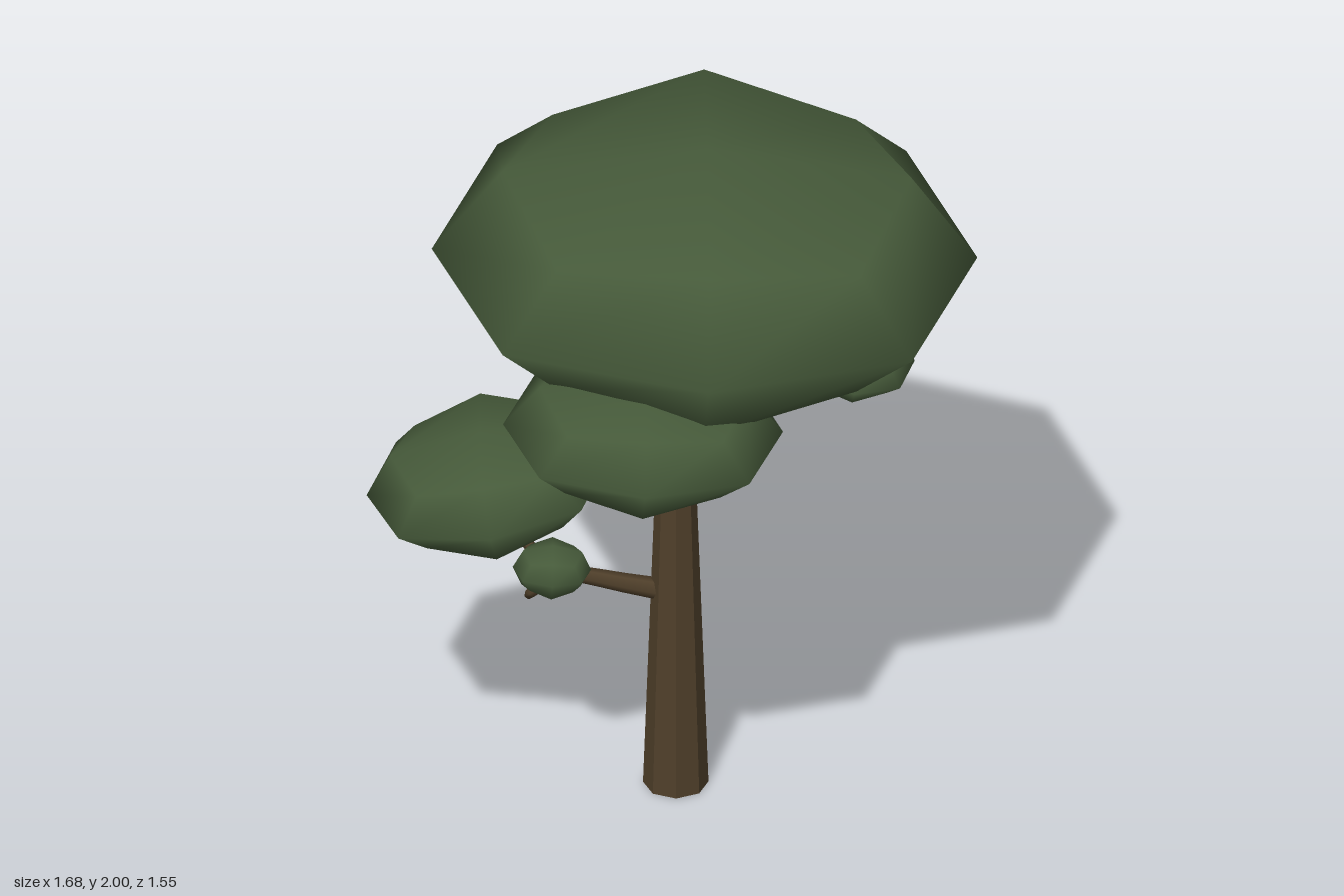
import * as THREE from 'three';
import { mergeVertices } from 'three/addons/utils/BufferGeometryUtils.js';

const leafMat = new THREE.MeshStandardMaterial({ color: 0x465a3a });
const barkMat = new THREE.MeshStandardMaterial({ color: 0x4f3f2a, flatShading: true });
const branchMat = new THREE.MeshStandardMaterial({ color: 0x4f3f2a });

// Rounded cube: a 2x2x2 box whose edge points and corners are drawn inward
function leafGeometry() {
  let g = new THREE.BoxGeometry(2, 2, 2, 2, 2, 2);
  g.deleteAttribute('uv');
  g.deleteAttribute('normal');
  g = mergeVertices(g);
  const p = g.attributes.position, v = new THREE.Vector3();
  const pull = [1, 1, 0.75, 5 / 9];
  for (let i = 0; i < p.count; i++) {
    v.fromBufferAttribute(p, i);
    const n = v.toArray().filter(c => Math.abs(c) > 0.5).length;
    v.multiplyScalar(pull[n]);
    p.setXYZ(i, v.x, v.y, v.z);
  }
  return g;
}

// One foliage cluster: centre, half sizes, tilt about z
function foliage(name, centre, half, tilt) {
  const g = leafGeometry().scale(...half);
  g.computeVertexNormals();
  const mesh = new THREE.Mesh(g, leafMat);
  mesh.position.set(...centre);
  mesh.rotation.z = tilt;
  mesh.name = name;
  return mesh;
}

// Tube along a curve, narrowing from r0 to r1
function branch(name, points, r0, r1) {
  const curve = new THREE.CatmullRomCurve3(points.map(p => new THREE.Vector3(...p)));
  const rings = 10, sides = 6;
  const g = new THREE.TubeGeometry(curve, rings, 1, sides);
  const p = g.attributes.position, v = new THREE.Vector3();
  for (let i = 0; i < p.count; i++) {
    const t = Math.floor(i / (sides + 1)) / rings;
    const c = curve.getPointAt(t);
    v.fromBufferAttribute(p, i).sub(c).multiplyScalar(r0 + (r1 - r0) * t).add(c);
    p.setXYZ(i, v.x, v.y, v.z);
  }
  const mesh = new THREE.Mesh(g, branchMat);
  mesh.name = name;
  return mesh;
}

export function createModel() {
  const tree = new THREE.Group();
  tree.name = 'tree';

  // Tapered eight-sided trunk
  const trunk = new THREE.Mesh(new THREE.CylinderGeometry(0.042, 0.09, 1.38, 8), barkMat);
  trunk.position.set(0.01, 0.69, 0.03);
  trunk.name = 'trunk';
  tree.add(trunk);

  // Branches and twigs
  tree.add(
    branch('lowerBranch', [[0, 0.615, 0.03], [-0.18, 0.66, 0.04], [-0.33, 0.705, 0.04],
      [-0.4, 0.76, 0.01], [-0.46, 0.87, -0.05], [-0.5, 0.94, -0.1]], 0.032, 0.008),
    branch('lowerTwig', [[-0.31, 0.7, 0.04], [-0.37, 0.675, 0.1], [-0.395, 0.68, 0.15],
      [-0.36, 0.73, 0.19], [-0.33, 0.79, 0.21]], 0.02, 0.007),
    branch('frontBranch', [[0.01, 1.16, 0.04], [-0.04, 1.16, 0.14], [-0.085, 1.17, 0.22],
      [-0.095, 1.22, 0.26], [-0.09, 1.29, 0.3]], 0.02, 0.01),
    branch('leftBranch', [[0.01, 1.22, 0.03], [0.14, 1.21, -0.02], [0.25, 1.215, -0.08],
      [0.29, 1.27, -0.13], [0.285, 1.34, -0.2], [0.28, 1.4, -0.28]], 0.026, 0.009),
    branch('leftTwig', [[0.28, 1.25, -0.12], [0.34, 1.28, -0.14], [0.42, 1.28, -0.15]], 0.014, 0.006)
  );

  // Foliage clusters
  tree.add(
    foliage('crown', [0.09, 1.662, -0.037], [0.75, 0.337, 0.737], -0.027),
    foliage('frontFoliage', [-0.085, 1.368, 0.4], [0.385, 0.162, 0.373], -0.04),
    foliage('rightFoliage', [-0.505, 1.02, 0.082], [0.34, 0.152, 0.337], 0.17),
    foliage('leftFoliage', [0.5, 1.257, -0.15], [0.17, 0.075, 0.203], -0.09),
    foliage('smallFoliage', [-0.333, 0.804, 0.215], [0.108, 0.073, 0.1], -0.05)
  );
  return tree;
}
